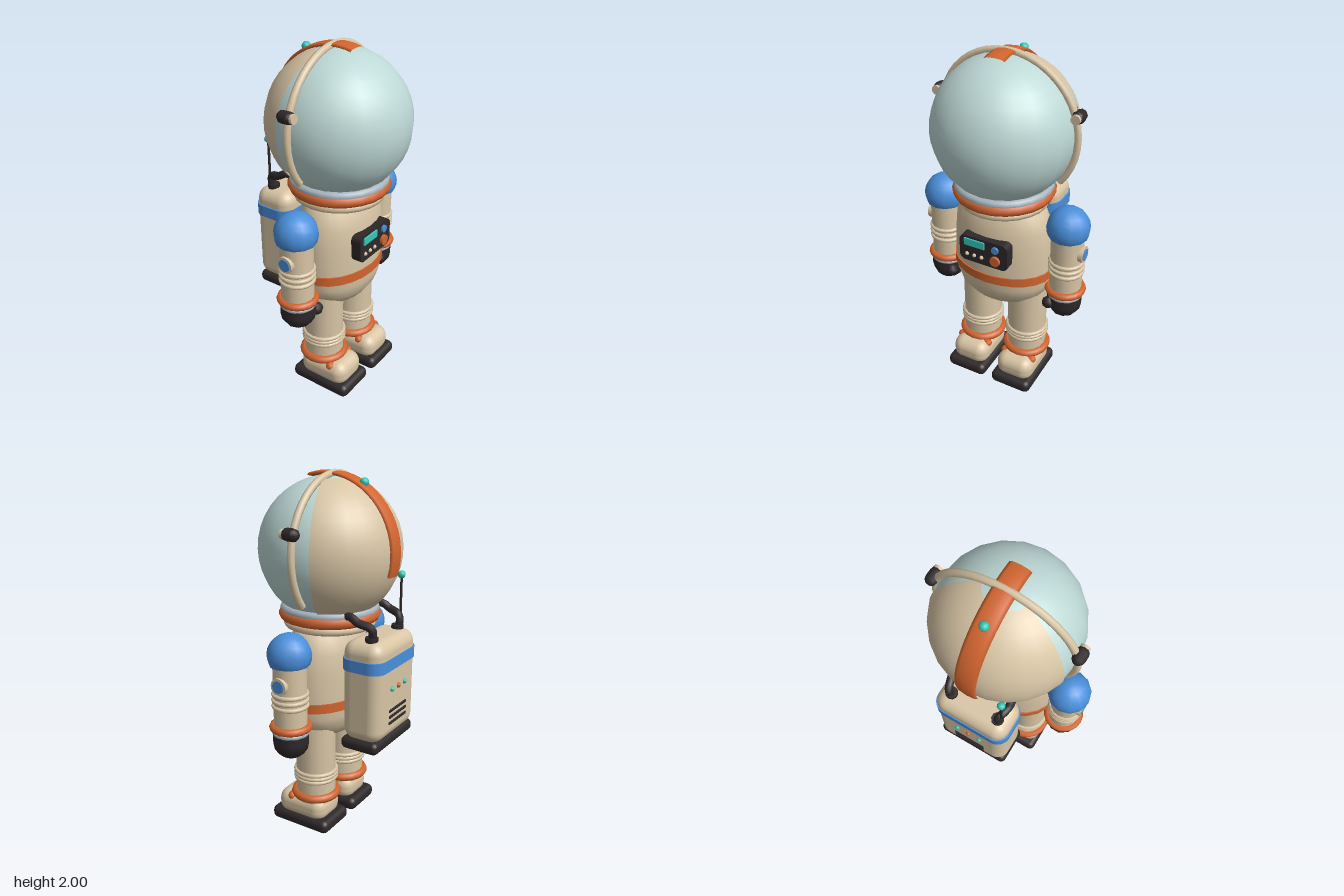
import * as THREE from 'three';
import { RoundedBoxGeometry } from 'three/addons/geometries/RoundedBoxGeometry.js';

const mat = (name, color, side = THREE.FrontSide) => {
  const m = new THREE.MeshStandardMaterial({ color, side });
  m.name = name;
  return m;
};

export function createModel() {
  const cream = mat('cream suit', 0xd8c5a5, THREE.DoubleSide);
  const orange = mat('orange trim', 0xd2652f);
  const blue = mat('blue trim', 0x4a8fdb, THREE.DoubleSide);
  const dark = mat('dark rubber', 0x2e2829);
  const glass = mat('pale glass', 0xbdd8d5);
  const grey = mat('grey metal', 0xa9b5bf);
  const teal = mat('teal light', 0x35c8b8);

  const root = new THREE.Group();
  root.name = 'astronaut';
  const Z = 0.03; // depth of the body axis

  const group = (name, parent = root) => {
    const g = new THREE.Group();
    g.name = name;
    parent.add(g);
    return g;
  };
  const add = (parent, name, geo, material, x = 0, y = 0, z = 0) => {
    const m = new THREE.Mesh(geo, material);
    m.name = name;
    m.position.set(x, y, z);
    parent.add(m);
    return m;
  };
  const ball = (r, w = 10, h = 8) => new THREE.SphereGeometry(r, w, h);
  const box = (w, h, d, r, s = 3) => new RoundedBoxGeometry(w, h, d, s, r);
  const rod = (r, h, n = 16) => new THREE.CylinderGeometry(r, r, h, n);
  const ring = (r, t, n = 20) => new THREE.TorusGeometry(r, t, 8, n).rotateX(Math.PI / 2);
  // Disc facing along z
  const disc = (r, t, n = 14) => rod(r, t, n).rotateX(Math.PI / 2);
  // Upright slab with a rounded rectangle outline
  const slab = (w, h, d, r) => {
    const s = new THREE.Shape(), a = w / 2 - r, b = h / 2 - r;
    s.absarc(a, b, r, 0, Math.PI / 2);
    s.absarc(-a, b, r, Math.PI / 2, Math.PI);
    s.absarc(-a, -b, r, Math.PI, 1.5 * Math.PI);
    s.absarc(a, -b, r, 1.5 * Math.PI, 2 * Math.PI);
    return new THREE.ExtrudeGeometry(s, { depth: d, bevelEnabled: false, curveSegments: 5 }).translate(0, 0, -d / 2);
  };

  // Helmet: glass globe, rear shell and rear stripe
  const helmet = group('helmet');
  helmet.position.set(0, 1.59, Z);
  add(helmet, 'glassGlobe', ball(0.383, 20, 20), glass);
  add(helmet, 'rearShell',
    new THREE.SphereGeometry(0.39, 10, 16, 1.1 * Math.PI, 0.8 * Math.PI, 0.1 * Math.PI, 0.76 * Math.PI), cream);
  const stripe = new THREE.TorusGeometry(0.395, 0.012, 8, 18, 2.1);
  stripe.scale(1, 1, 4.75).rotateZ(-0.27).rotateY(Math.PI / 2);
  add(helmet, 'rearStripe', stripe, orange);
  add(helmet, 'stripeLight', ball(0.025, 8, 6), teal, 0, 0.352, -0.207);

  // Headset band and earpieces
  const headset = group('headset');
  const arc = 4.5;
  add(headset, 'headBand', new THREE.TorusGeometry(0.393, 0.02, 8, 32, arc).rotateZ(Math.PI / 2 - arc / 2), cream, 0, 1.588, 0);
  for (const s of [-1, 1]) {
    add(headset, 'earpiece', new THREE.CapsuleGeometry(0.034, 0.032, 3, 8).rotateX(Math.PI / 2), dark, s * 0.393, 1.718, 0);
    add(headset, 'earpieceCap', disc(0.026, 0.03, 10), cream, s * 0.393, 1.718, 0.036);
  }

  // Collar rings
  const collar = group('collar');
  add(collar, 'upperRing', ring(0.247, 0.025, 24), grey, 0, 1.275, Z);
  add(collar, 'middleRing', ring(0.247, 0.034, 24), orange, 0, 1.244, Z);
  add(collar, 'lowerRing', ring(0.23, 0.025, 24), cream, 0, 1.195, Z);

  // Torso and belt
  const torso = group('torso');
  const profile = [[0, 0.52], [0.1, 0.53], [0.205, 0.58], [0.26, 0.635], [0.286, 0.7], [0.291, 0.8],
    [0.288, 0.95], [0.277, 1.06], [0.245, 1.15], [0.2, 1.19], [0, 1.2]].map(p => new THREE.Vector2(...p));
  const shell = new THREE.LatheGeometry(profile, 24);
  add(torso, 'body', shell, cream, 0, 0, 0.04).scale.z = 0.7;
  add(torso, 'belt', rod(0.297, 0.052, 24), orange, 0, 0.77, 0.04).scale.z = 0.71;

  // Chest control panel
  const panel = group('chestPanel');
  add(panel, 'panelCase', slab(0.292, 0.16, 0.06, 0.035), dark, 0, 0.955, 0.24);
  add(panel, 'screen', box(0.126, 0.046, 0.012, 0.004, 1), teal, -0.054, 0.998, 0.271);
  add(panel, 'blueButton', disc(0.021, 0.02), blue, 0.075, 0.995, 0.272);
  add(panel, 'orangeKnob', disc(0.029, 0.024), orange, 0.075, 0.926, 0.274);
  for (let i = 0; i < 3; i++) add(panel, 'smallButton', ball(0.012, 8, 6), cream, -0.1 + i * 0.045, 0.92, 0.271);

  for (const s of [-1, 1]) {
    // Arm
    const arm = group(s > 0 ? 'leftArm' : 'rightArm');
    arm.position.set(s * 0.382, 0, Z);
    add(arm, 'shoulder', new THREE.SphereGeometry(0.118, 12, 8, 0, Math.PI * 2, 0, Math.PI * 0.64), blue, 0, 1.1, 0);
    add(arm, 'sleeve', rod(0.09, 0.4), cream, 0, 0.89, 0);
    for (let i = 0; i < 3; i++) add(arm, 'sleeveFold', ring(0.089, 0.012), cream, 0, 0.89 - i * 0.033, 0);
    add(arm, 'wristCuff', ring(0.095, 0.021), orange, 0, 0.703, 0);
    add(arm, 'wristRing', ring(0.088, 0.014), grey, 0, 0.672, 0);
    add(arm, 'glove', new THREE.CapsuleGeometry(0.1, 0.055, 4, 10), dark, 0, 0.648, 0);
    add(arm, 'thumb', ball(0.036, 8, 6), dark, -s * 0.066, 0.622, 0.075);
    add(arm, 'badgeRim', rod(0.046, 0.03).rotateZ(Math.PI / 2), cream, s * 0.088, 0.956, 0);
    add(arm, 'badge', rod(0.034, 0.008).rotateZ(Math.PI / 2), blue, s * 0.103, 0.956, 0);

    // Leg and boot
    const leg = group(s > 0 ? 'leftLeg' : 'rightLeg');
    leg.position.set(s * 0.15, 0, Z);
    add(leg, 'trouser', rod(0.113, 0.46), cream, 0, 0.4, 0);
    for (let i = 0; i < 3; i++) add(leg, 'trouserFold', ring(0.115, 0.012), cream, 0, 0.352 - i * 0.022, 0);
    add(leg, 'ankleRing', ring(0.118, 0.024), orange, 0, 0.208, 0);
    add(leg, 'boot', box(0.228, 0.15, 0.31, 0.065, 4), cream, 0, 0.125, 0.05);
    add(leg, 'bootStrap', new THREE.CapsuleGeometry(0.024, 0.18, 4, 8).rotateZ(Math.PI / 2), orange, 0, 0.177, 0.107);
    add(leg, 'sole', box(0.252, 0.078, 0.38, 0.034), dark, 0, 0.044, 0.045);
  }

  // Backpack
  const pack = group('backpack');
  add(pack, 'packBody', box(0.43, 0.56, 0.234, 0.07, 4), cream, 0, 0.89, -0.285);
  add(pack, 'packBand', slab(0.447, 0.246, 0.064, 0.075).rotateX(Math.PI / 2), blue, 0, 1.043, -0.285);
  add(pack, 'packBase', box(0.43, 0.07, 0.224, 0.03), dark, 0, 0.59, -0.28);
  for (let i = -1; i <= 1; i++) {
    add(pack, 'indicatorLight', ball(0.015, 8, 6), i ? teal : orange, i * 0.07, 0.902, -0.402);
    add(pack, 'ventSlot', box(0.19, 0.016, 0.014, 0.004, 1), dark, 0, 0.745 + i * 0.035, -0.401);
  }

  // Antenna
  add(pack, 'antenna', rod(0.007, 0.31, 8), dark, -0.165, 1.3, -0.318);
  add(pack, 'antennaTip', ball(0.022, 8, 6), teal, -0.165, 1.46, -0.318);

  // Air hoses from the pack to the collar
  for (const s of [-1, 1]) {
    const path = [[0.14, 1.14, -0.315], [0.15, 1.235, -0.32], [0.17, 1.262, -0.25], [0.165, 1.288, -0.2], [0.14, 1.268, -0.15]];
    const curve = new THREE.CatmullRomCurve3(path.map(p => new THREE.Vector3(s * p[0], p[1], p[2])));
    add(pack, 'airHose', new THREE.TubeGeometry(curve, 14, 0.022, 8), dark);
    add(pack, 'hoseFitting', rod(0.034, 0.04, 10), dark, s * 0.14, 1.17, -0.315);
  }
  return root;
}
